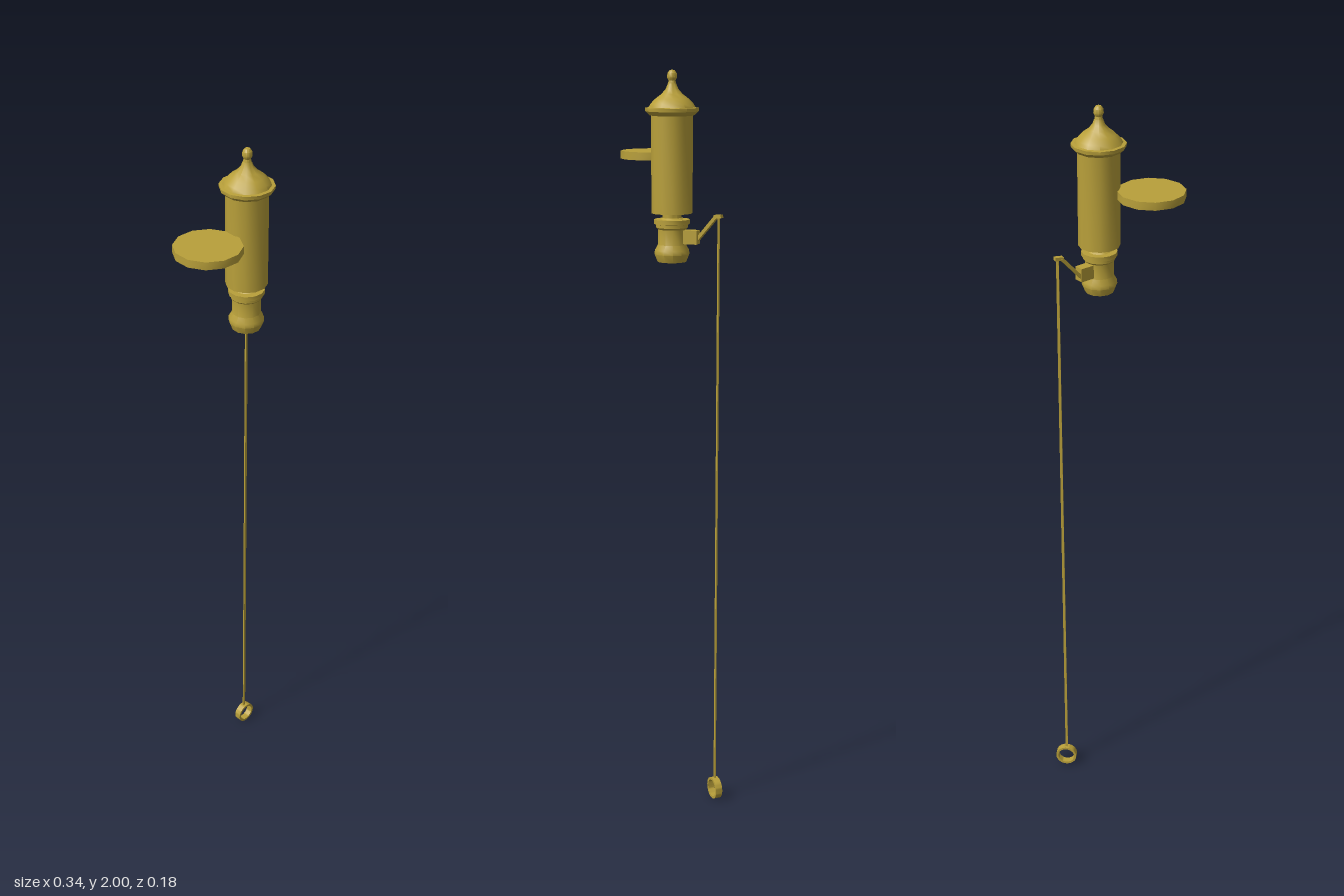
import * as THREE from 'three';
import { toCreasedNormals } from 'three/addons/utils/BufferGeometryUtils.js';

const SIDES = 12;
const TURN = 0.17;
const AXIS = { x: 0.045, z: 0.008 };

export function createModel() {
  const brass = new THREE.MeshStandardMaterial({ color: 0xb9a03a });
  const model = new THREE.Group();
  model.name = 'whistle';

  const add = (name, geometry, x = 0, y = 0, z = 0) => {
    const mesh = new THREE.Mesh(toCreasedNormals(geometry, 0.65), brass);
    mesh.name = name;
    mesh.position.set(x, y, z);
    model.add(mesh);
    return mesh;
  };
  // Turned part on the whistle axis, profile listed as [radius, height] from bottom to top
  const turned = (name, profile) => add(name, new THREE.LatheGeometry(
    profile.map(([r, y]) => new THREE.Vector2(r, y)), SIDES, TURN), AXIS.x, 0, AXIS.z);
  // Square bar between two points
  const bar = (name, a, b, width, height) => {
    const from = new THREE.Vector3(...a), to = new THREE.Vector3(...b);
    const mesh = add(name, new THREE.BoxGeometry(width, height, from.distanceTo(to)));
    mesh.position.copy(from).lerp(to, 0.5);
    mesh.lookAt(to);
  };

  // Whistle base with rounded foot, neck and bowl
  turned('base', [
    [0, 1.525], [0.016, 1.525], [0.018, 1.507], [0.038, 1.507], [0.046, 1.527],
    [0.045, 1.538], [0.037, 1.552], [0.037, 1.592], [0.042, 1.597], [0.042, 1.605],
    [0.047, 1.606], [0.047, 1.618], [0.03, 1.618], [0.025, 1.622], [0.025, 1.64],
  ]);
  // Bell chamber
  turned('bell', [[0, 1.634], [0.054, 1.634], [0.054, 1.895], [0, 1.895]]);
  // Rim, flared cap and finial
  turned('cap', [
    [0.05, 1.883], [0.058, 1.885], [0.069, 1.895], [0.07, 1.904], [0.061, 1.905],
    [0.055, 1.915], [0.043, 1.927], [0.027, 1.939], [0.016, 1.952], [0.011, 1.965],
  ]);
  turned('finial', [
    [0.011, 1.963], [0.009, 1.972], [0.013, 1.98], [0.012, 1.991], [0.007, 1.998], [0, 2],
  ]);

  // Round side plate
  const plate = new THREE.CylinderGeometry(0.087, 0.087, 0.021, SIDES);
  plate.rotateY(0.2);
  add('sidePlate', plate, -0.088, 1.777, 0.005);

  // Valve and bent lever
  bar('valve', [0.055, 1.573, -0.008], [0.092, 1.573, -0.046], 0.026, 0.036);
  bar('leverArm', [0.085, 1.566, -0.047], [0.131, 1.629, -0.08], 0.012, 0.009);
  bar('leverTip', [0.127, 1.629, -0.077], [0.146, 1.631, -0.089], 0.012, 0.009);

  // Pull rod
  add('pullRod', new THREE.BoxGeometry(0.007, 1.574, 0.004), 0.14, 0.843, -0.0825);

  // Pull ring
  const ring = new THREE.Shape().absarc(0, 0, 0.03, 0, Math.PI * 2);
  ring.holes.push(new THREE.Path().absarc(0, 0, 0.0235, 0, Math.PI * 2, true));
  add('pullRing', new THREE.ExtrudeGeometry(ring, { depth: 0.019, bevelEnabled: false, curveSegments: 16 }),
    0.141, 0.03, -0.092);

  return model;
}
